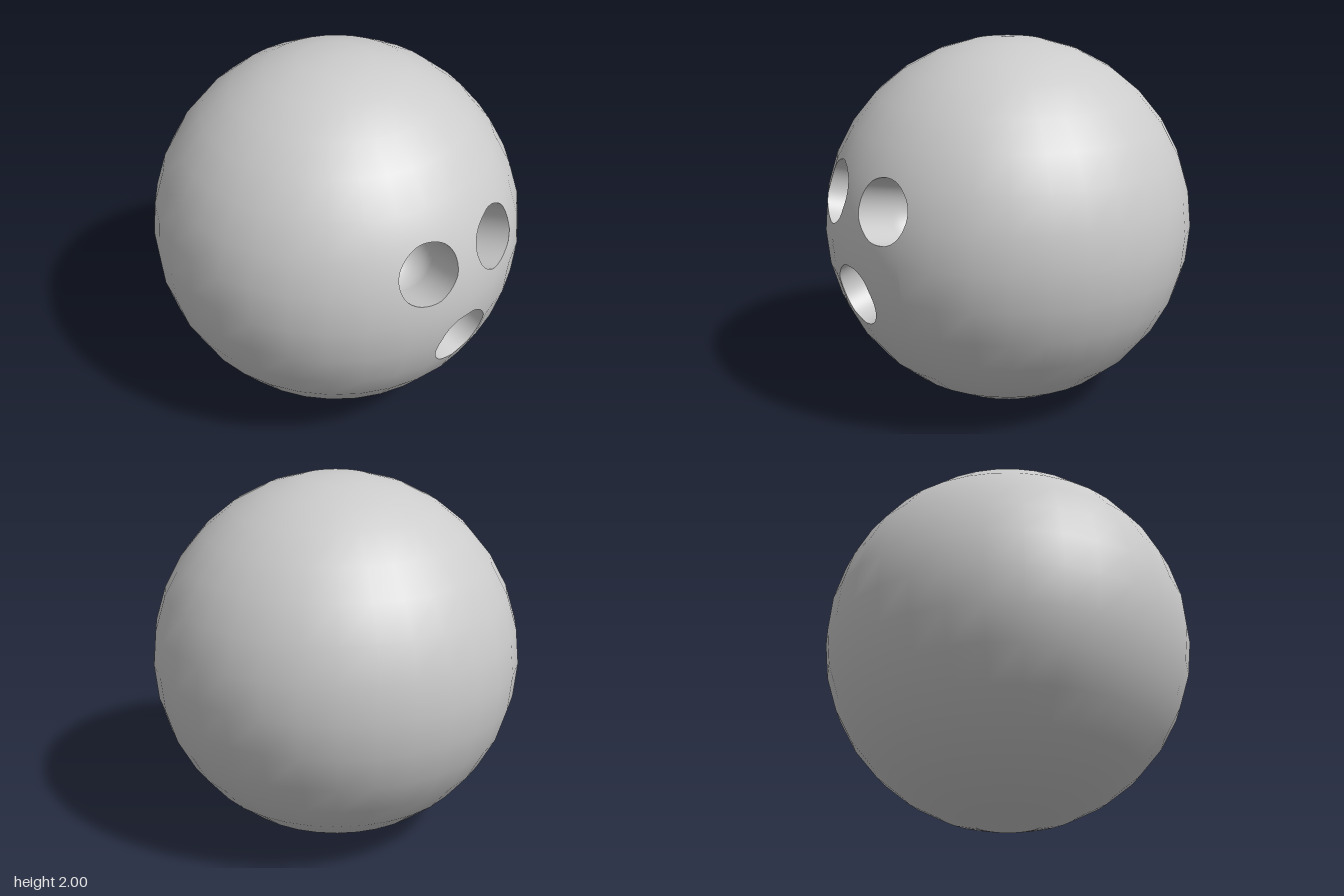
import * as THREE from 'three';

const STEP = Math.PI / 16; // the ball is a 32 x 16 faceted globe
const HOLE_ANGLE = THREE.MathUtils.degToRad(9.8);
const HOLE_R = Math.sin(HOLE_ANGLE);

// hole centres (degrees from the +x axis) and the block of globe cells each one replaces
const HOLES = [
  { name: 'frontFingerHole', lon: -14.1, lat: 14.4, block: [-3, 0, 0, 3] },
  { name: 'backFingerHole', lon: 14.6, lat: 14.4, block: [0, 0, 3, 3] },
  { name: 'thumbHole', lon: 0, lat: -15, block: [-2, -3, 2, 0] },
];

function direction(lon, lat) {
  return new THREE.Vector3(
    Math.cos(lat) * Math.cos(lon), Math.sin(lat), -Math.cos(lat) * Math.sin(lon));
}

// point on the faceted globe; u and v count cells of longitude and latitude
function facetPoint(u, v) {
  const i = Math.floor(u), j = Math.floor(v);
  const corner = (a, b) => direction((i + a) * STEP, (j + b) * STEP);
  const low = corner(0, 0).lerp(corner(1, 0), u - i);
  const high = corner(0, 1).lerp(corner(1, 1), u - i);
  return low.lerp(high, v - j);
}

// closed rings of points, joined from the inner ring to the outer one
function ringGeometry(rings) {
  const n = rings[0].length, index = [];
  for (let k = 0; k < rings.length - 1; k++) {
    for (let j = 0; j < n; j++) {
      const a = k * n + j, b = k * n + (j + 1) % n;
      index.push(a, a + n, b + n, a, b + n, b);
    }
  }
  const geometry = new THREE.BufferGeometry().setFromPoints(rings.flat());
  geometry.setIndex(index);
  return geometry;
}

// smooth shading of the ball: normals point straight out from the centre
function radialNormals(geometry) {
  const normals = geometry.attributes.position.clone();
  geometry.setAttribute('normal', normals);
  geometry.normalizeNormals();
  return geometry;
}

// globe cells outside the drilled blocks
function shellGeometry() {
  const points = [];
  const drilled = (u, v) => HOLES.some(({ block: [u0, v0, u1, v1] }) =>
    u >= u0 && u < u1 && v >= v0 && v < v1);
  for (let u = -16; u < 16; u++) {
    for (let v = -8; v < 8; v++) {
      if (drilled(u, v)) continue;
      const [a, b, c, d] = [[0, 0], [1, 0], [1, 1], [0, 1]].map(
        ([i, j]) => direction((u + i) * STEP, (v + j) * STEP));
      if (v > -8) points.push(a, b, c);
      if (v < 7) points.push(a, c, d);
      if (v === -8) points.push(a.clone(), c.clone(), d.clone());
    }
  }
  return radialNormals(new THREE.BufferGeometry().setFromPoints(points));
}

// the surface round one hole and the round-ended bore inside it
function drillHole({ lon, lat, block: [u0, v0, u1, v1] }) {
  lon = THREE.MathUtils.degToRad(lon);
  lat = THREE.MathUtils.degToRad(lat);
  const axis = direction(lon, lat);
  const east = new THREE.Vector3(-Math.sin(lon), 0, -Math.cos(lon));
  const north = axis.clone().cross(east);

  // walk counter-clockwise round the border of the block
  const border = [];
  const corners = [[u0, v0], [u1, v0], [u1, v1], [u0, v1]];
  corners.forEach(([u, v], k) => {
    const [un, vn] = corners[(k + 1) % 4];
    const count = 6 * (Math.abs(un - u) + Math.abs(vn - v));
    for (let s = 0; s < count; s++) {
      border.push([u + (un - u) * s / count, v + (vn - v) * s / count]);
    }
  });

  const angles = border.map(([u, v]) => Math.atan2(v - lat / STEP, u - lon / STEP));
  const around = (angle, radius, height) => axis.clone().multiplyScalar(height)
    .addScaledVector(east, radius * Math.cos(angle))
    .addScaledVector(north, radius * Math.sin(angle));

  const rim = angles.map((angle) => {
    const p = around(angle, HOLE_R, Math.cos(HOLE_ANGLE));
    return [Math.atan2(-p.z, p.x) / STEP, Math.asin(p.y) / STEP];
  });

  // surface rings from the rim out to the border
  const surface = [];
  for (let k = 0; k <= 8; k++) {
    const t = k / 8;
    surface.push(rim.map(([u, v], j) => facetPoint(
      u + (border[j][0] - u) * t, v + (border[j][1] - v) * t)));
  }

  // bore rings from the rounded bottom up to the rim
  const bore = [];
  const wallEnd = 0.74;
  for (let k = 0; k <= 10; k++) {
    const t = Math.max(k / 10, 0.001) * Math.PI / 2;
    bore.push(angles.map((a) =>
      around(a, HOLE_R * Math.sin(t), wallEnd - HOLE_R * Math.cos(t))));
  }
  bore.push(angles.map((a) => around(a, HOLE_R, 0.86)));
  bore.push(surface[0].map((p) => p.clone()));

  const boreGeometry = ringGeometry(bore);
  boreGeometry.computeVertexNormals();
  return { surface: radialNormals(ringGeometry(surface)), bore: boreGeometry };
}

export function createModel() {
  const model = new THREE.Group();
  model.name = 'bowlingBall';
  const material = new THREE.MeshStandardMaterial({ color: 0xcccccc });

  const add = (geometry, name) => {
    const mesh = new THREE.Mesh(geometry, material);
    mesh.name = name;
    mesh.position.y = 1;
    model.add(mesh);
  };

  add(shellGeometry(), 'ballShell');
  for (const hole of HOLES) {
    const { surface, bore } = drillHole(hole);
    add(surface, hole.name + 'Surround');
    add(bore, hole.name);
  }
  return model;
}
